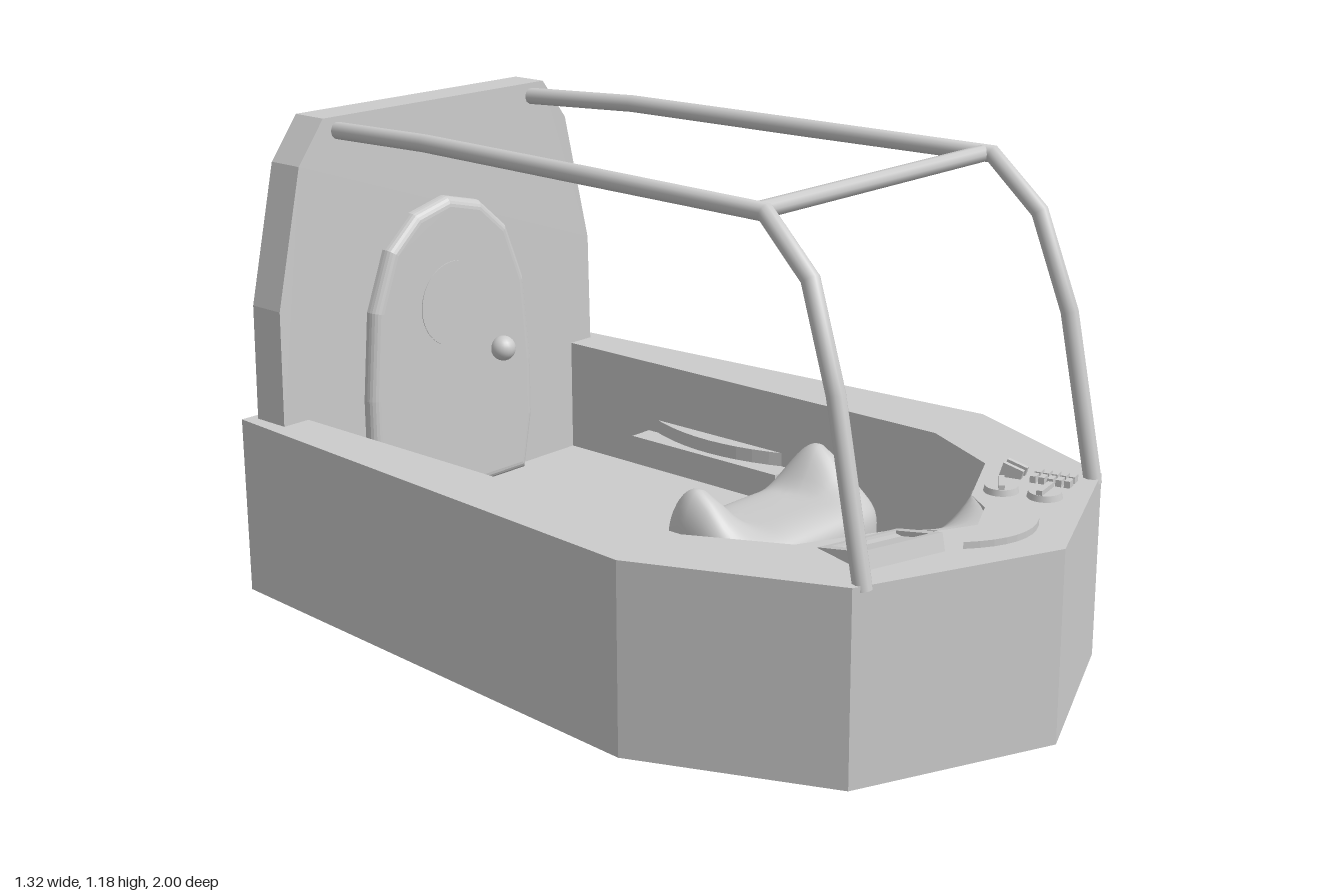
import * as THREE from 'three';
import { mergeVertices } from 'three/addons/utils/BufferGeometryUtils.js';

const DECK = 0.445, FLOOR = 0.15;

export function createModel() {
  const model = new THREE.Group();
  const mat = new THREE.MeshStandardMaterial({ color: 0xcccccc, side: THREE.DoubleSide });
  const add = (name, geo, x = 0, y = 0, z = 0, parent = model) => {
    const m = new THREE.Mesh(geo, mat);
    m.name = name;
    m.position.set(x, y, z);
    parent.add(m);
    return m;
  };
  const mirror = (half) => [...half, ...half.slice().reverse().filter(p => p[0] !== 0).map(([x, y]) => [-x, y])];
  const shapeOf = (pts) => new THREE.Shape(pts.map(([x, y]) => new THREE.Vector2(x, y)));
  // Plan outline (x, z) extruded between two heights
  const slab = (shape, y0, y1) => new THREE.ExtrudeGeometry(shape, { depth: y1 - y0, bevelEnabled: false, curveSegments: 10 })
    .rotateX(Math.PI / 2).translate(0, y1, 0);

  // Hull: bottom slab, and walls around a well open at the back
  const outer = mirror([[0.565, -1], [0.66, 0.34], [0.465, 0.8], [0, 1]]);
  const well = mirror([[0.46, -1], [0.46, 0.34], [0.35, 0.56], [0.15, 0.66], [0.1, 0.73], [0, 0.78]]);
  add('hullBase', slab(shapeOf(outer), 0, FLOOR));
  add('hullWalls', slab(shapeOf([...outer, ...well.slice().reverse()]), FLOOR, DECK));

  // Sloping apron in the middle of the dashboard, then a wall to the floor
  const apron = new THREE.PlaneGeometry(1, 1, 12, 8);
  const ap = apron.attributes.position;
  for (let i = 0; i < ap.count; i++) {
    const x = ap.getX(i) * 0.3, t = 0.5 - ap.getY(i);
    const arc = 0.66 + 0.12 * Math.max(0, Math.cos(x / 0.15 * Math.PI / 2));
    const s = Math.min(t / 0.5, 1);
    const z = THREE.MathUtils.lerp(arc, 0.66, s);
    const dip = 0.05 * s * s * (1 - (x / 0.15) ** 2);
    ap.setXYZ(i, x, t <= 0.5 ? DECK - dip : THREE.MathUtils.lerp(DECK - dip, FLOOR, (t - 0.5) * 2), z);
  }
  apron.computeVertexNormals();
  add('dashApron', apron);

  // Rear panel
  const panel = shapeOf(mirror([[0.46, FLOOR], [0.535, 0.44], [0.53, 0.73], [0.45, 1.07], [0.37, 1.175]]));
  add('rearPanel', new THREE.ExtrudeGeometry(panel, { depth: 0.1, bevelEnabled: false }), 0, 0, -0.975);

  // Rounded door with a round port and a knob
  const door = shapeOf(mirror([[0.23, 0.17], [0.255, 0.3], [0.255, 0.45], [0.235, 0.67], [0.18, 0.81], [0.1, 0.88], [0, 0.905]]));
  add('door', new THREE.ExtrudeGeometry(door, {
    depth: 0.01, bevelThickness: 0.025, bevelSize: 0.025, bevelSegments: 5 }), 0, 0, -0.875);
  add('doorPort', new THREE.CylinderGeometry(0.11, 0.11, 0.01, 40).rotateX(Math.PI / 2), 0, 0.655, -0.843);
  add('doorKnob', new THREE.SphereGeometry(0.033, 20, 14), 0.155, 0.505, -0.825);

  // Roll cage
  for (const s of [1, -1]) {
    const path = [[0.43, 0.43, 0.8], [0.425, 0.82, 0.72], [0.41, 1.04, 0.64], [0.4, 1.155, 0.515],
      [0.375, 1.155, 0], [0.352, 1.155, -0.54], [0.325, 1.14, -0.89]];
    const c = new THREE.CatmullRomCurve3(path.map(([x, y, z]) => new THREE.Vector3(s * x, y, z)));
    c.getPointAt = (t) => c.getPoint(t);
    c.getTangentAt = (t) => c.getTangent(t);
    add('cageRail', new THREE.TubeGeometry(c, path.length - 1, 0.021, 10));

    // Side shelf with a bulging pad
    add('sideShelf', new THREE.BoxGeometry(0.07, 0.03, 0.49), s * 0.43, 0.24, -0.345);
    const pad = new THREE.Shape();
    pad.moveTo(s * 0.465, -0.57);
    pad.quadraticCurveTo(s * 0.37, -0.345, s * 0.465, -0.12);
    add('sidePad', slab(pad, 0.255, 0.29));
  }
  add('cageCrossbar', new THREE.CylinderGeometry(0.019, 0.019, 0.8, 10).rotateZ(Math.PI / 2), 0, 1.155, 0.495);

  // Seat: a soft block whose two ends rise into arms
  const seat = new THREE.SphereGeometry(1, 64, 40);
  seat.deleteAttribute('uv');
  seat.deleteAttribute('normal');
  const seatGeo = mergeVertices(seat, 1e-4);
  const sp = seatGeo.attributes.position;
  const soft = (v) => Math.sign(v) * Math.abs(v) ** 0.5;
  for (let i = 0; i < sp.count; i++) {
    const r = Math.hypot(sp.getX(i), sp.getZ(i)) || 1;
    const ring = Math.sqrt(r);
    const x = 0.265 * ring * soft(sp.getX(i) / r), z = 0.152 * ring * soft(sp.getZ(i) / r);
    let y = 0.1 * soft(sp.getY(i));
    if (y > 0) y += 0.135 * (y / 0.1) * THREE.MathUtils.smoothstep(Math.abs(x), 0.1, 0.24) * Math.exp(-(((z + 0.05) / 0.1) ** 2));
    sp.setXYZ(i, x, y, z);
  }
  seatGeo.computeVertexNormals();
  add('seat', seatGeo, 0, 0.25, 0.22);
  add('seatPlinth', new THREE.CylinderGeometry(0.16, 0.16, 0.02, 40), 0, FLOOR + 0.01, 0.315);

  // Control column with a ring of four grips
  add('controlColumn', new THREE.LatheGeometry(
    [[0, FLOOR], [0.075, FLOOR], [0.078, 0.31], [0.093, 0.315], [0.093, 0.335], [0.08, 0.348], [0, 0.348]]
      .map(([x, y]) => new THREE.Vector2(x, y)), 32), 0, 0, 0.6);
  for (let i = 0; i < 4; i++) {
    const g = new THREE.TorusGeometry(0.05, 0.007, 6, 10, 1.0).rotateZ(-0.5).rotateX(Math.PI / 2);
    add('columnGrip', g, 0, 0.35, 0.6).rotation.y = i * Math.PI / 2;
  }

  // Tilted screen with a raised rim
  const screen = new THREE.Group();
  screen.name = 'screen';
  screen.position.set(-0.255, 0.44, 0.715);
  screen.rotation.set(-0.25, -0.28, 0, 'YXZ');
  model.add(screen);
  add('screenBody', new THREE.BoxGeometry(0.21, 0.03, 0.155), 0, 0, 0, screen);
  for (const s of [1, -1]) {
    add('screenRimSide', new THREE.BoxGeometry(0.02, 0.012, 0.155), s * 0.095, 0.02, 0, screen);
    add('screenRimEnd', new THREE.BoxGeometry(0.17, 0.012, 0.02), 0, 0.02, s * 0.0675, screen);
  }

  // Crescent handle at the nose
  const crescent = new THREE.Shape();
  crescent.moveTo(-0.14, 0.84);
  crescent.quadraticCurveTo(0, 0.965, 0.14, 0.84);
  crescent.quadraticCurveTo(0, 0.915, -0.14, 0.84);
  add('noseHandle', slab(crescent, DECK, DECK + 0.015));

  // Dials with a grip bar
  for (const [x, z, a] of [[0.215, 0.695, 0.6], [0.245, 0.79, 0.2]]) {
    add('dial', new THREE.CylinderGeometry(0.037, 0.04, 0.014, 24), x, DECK + 0.007, z);
    add('dialGrip', new THREE.BoxGeometry(0.07, 0.014, 0.014), x, DECK + 0.018, z).rotation.y = a;
  }

  // Keys and switches on the deck
  const keys = new THREE.Group();
  keys.name = 'deckKeys';
  keys.position.set(0.34, DECK, 0.73);
  keys.rotation.y = 0.25;
  model.add(keys);
  for (let i = 0; i < 5; i++) for (const s of [1, -1])
    add('key', new THREE.BoxGeometry(0.026, 0.016, 0.014), s * 0.017, 0.008, -0.02 + i * 0.02, keys);
  for (const s of [1, -1])
    add('switch', new THREE.BoxGeometry(0.012, 0.035, 0.05), s * 0.014, 0.01, -0.075, keys).rotation.x = 0.3;

  // Button panels on the slanted dashboard walls
  for (const s of [1, -1]) {
    const board = new THREE.Group();
    board.name = 'wallButtons';
    board.position.set(s * 0.25, 0.34, 0.61);
    board.rotation.y = s * 0.46;
    model.add(board);
    const cols = s > 0 ? 2 : 3;
    for (let c = 0; c < cols; c++) for (let r = -1; r <= 1; r++) {
      const geo = s > 0 ? new THREE.SphereGeometry(0.018, 14, 10) : new THREE.BoxGeometry(0.042, 0.04, 0.03);
      add('wallButton', geo, (c - (cols - 1) / 2) * 0.055, r * 0.052, -0.004, board);
    }
  }
  return model;
}
